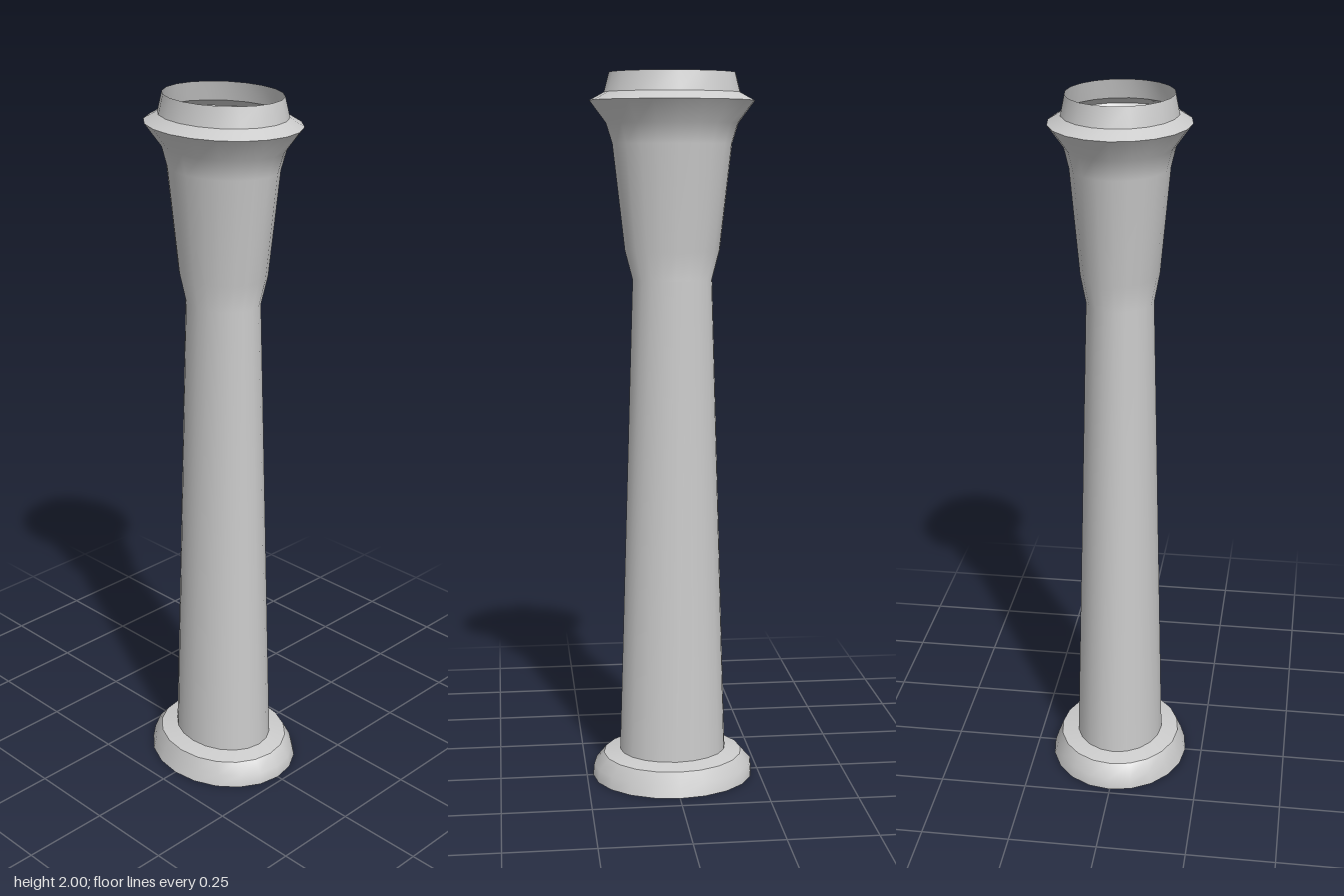
import * as THREE from 'three';

const SIDES = 20;
const material = new THREE.MeshStandardMaterial({ color: 0xcccccc, side: THREE.DoubleSide });

// Smooth band through elliptical rings [y, radiusX, radiusZ], listed bottom to top
function band(name, rings) {
  const positions = [], index = [];
  for (const [y, rx, rz] of rings) {
    for (let i = 0; i < SIDES; i++) {
      const a = (i / SIDES) * Math.PI * 2;
      positions.push(rx * Math.cos(a), y, rz * Math.sin(a));
    }
  }
  for (let r = 0; r < rings.length - 1; r++) {
    for (let i = 0; i < SIDES; i++) {
      const j = (i + 1) % SIDES;
      const a = r * SIDES + i, b = r * SIDES + j;
      index.push(a, a + SIDES, b, b, a + SIDES, b + SIDES);
    }
  }
  const geometry = new THREE.BufferGeometry();
  geometry.setAttribute('position', new THREE.Float32BufferAttribute(positions, 3));
  geometry.setIndex(index);
  geometry.computeVertexNormals();
  const mesh = new THREE.Mesh(geometry, material);
  mesh.name = name;
  return mesh;
}

export function createModel() {
  const group = new THREE.Group();
  group.name = 'hollowColumn';

  // Rings shared by neighbouring parts
  const baseRim = [0.068, 0.2, 0.176];
  const shaftFoot = [0.078, 0.153, 0.127];
  const flangeEdge = [1.925, 0.227, 0.19];
  const collarFoot = [1.947, 0.187, 0.155];

  group.add(
    // Flared foot, open underneath
    band('baseSkirt', [[0, 0.232, 0.201], [0.035, 0.229, 0.189], baseRim]),
    band('baseTop', [baseRim, shaftFoot]),
    // Tapered shaft, widening into the bell-shaped head
    band('shaftAndHead', [
      shaftFoot,
      [1.44, 0.111, 0.093],
      [1.52, 0.132, 0.108],
      [1.81, 0.165, 0.134],
      [1.865, 0.182, 0.147],
      flangeEdge,
    ]),
    // Sloping lip and open collar
    band('flangeTop', [flangeEdge, collarFoot]),
    band('collar', [collarFoot, [2, 0.173, 0.144]]),
  );
  return group;
}
